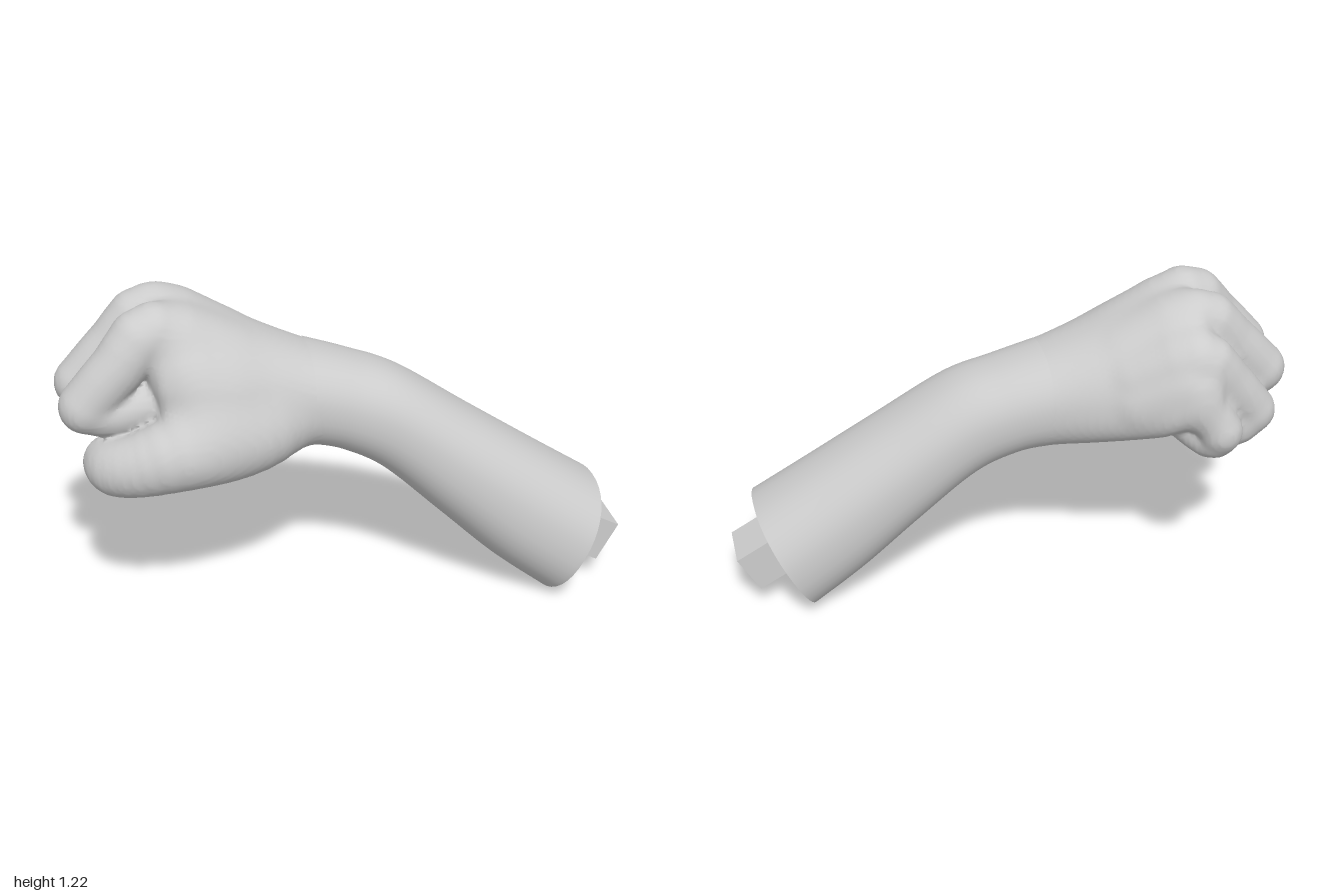
import * as THREE from 'three';

const skin = new THREE.MeshStandardMaterial({ color: 0xcccccc });
skin.name = 'plain grey';
const SIDES = 40;

// Arm cross-sections: top x, top y, bottom x, bottom y, back z, front z
const sections = [
  [0.915, 0.41, 0.71, 0.0, -0.085, 0.41],
  [0.70, 0.55, 0.52, 0.15, -0.09, 0.37],
  [0.45, 0.715, 0.32, 0.34, -0.10, 0.32],
  [0.20, 0.88, 0.12, 0.525, -0.12, 0.268],
  [0.03, 0.945, -0.03, 0.605, -0.145, 0.238],
  [-0.13, 0.995, -0.14, 0.63, -0.175, 0.23],
  [-0.28, 1.055, -0.27, 0.65, -0.235, 0.25],
  [-0.43, 1.125, -0.40, 0.68, -0.305, 0.28],
  [-0.56, 1.18, -0.51, 0.72, -0.36, 0.275],
  [-0.65, 1.185, -0.60, 0.78, -0.355, 0.235],
  [-0.70, 1.12, -0.66, 0.86, -0.30, 0.17],
  [-0.72, 1.02, -0.71, 0.97, -0.09, -0.04],
];
const WRIST = 5;

// Rows of [x, y, z, radius]; each finger has an outer part and a part curled into the palm
const fingers = [
  [[[-0.42, 1.0, 0.06, 0.08], [-0.66, 1.112, 0.07, 0.104], [-0.79, 1.01, 0.10, 0.094], [-0.91, 0.88, 0.105, 0.09]],
    [[-0.91, 0.87, 0.105, 0.088], [-0.82, 0.84, 0.10, 0.083], [-0.68, 0.86, 0.09, 0.08]]],
  [[[-0.42, 1.0, -0.09, 0.08], [-0.65, 1.112, -0.10, 0.10], [-0.78, 1.01, -0.095, 0.094], [-0.91, 0.875, -0.09, 0.09]],
    [[-0.91, 0.87, -0.09, 0.088], [-0.82, 0.81, -0.09, 0.083], [-0.68, 0.84, -0.08, 0.08]]],
  [[[-0.42, 0.96, -0.19, 0.07], [-0.61, 1.045, -0.25, 0.088], [-0.72, 0.94, -0.25, 0.086], [-0.83, 0.80, -0.24, 0.082]],
    [[-0.83, 0.79, -0.24, 0.08], [-0.75, 0.735, -0.235, 0.078], [-0.62, 0.78, -0.20, 0.075]]],
  [[[-0.42, 0.88, -0.22, 0.07], [-0.58, 0.965, -0.28, 0.076], [-0.63, 0.88, -0.31, 0.077], [-0.68, 0.79, -0.333, 0.076]],
    [[-0.685, 0.775, -0.33, 0.075], [-0.66, 0.735, -0.29, 0.074], [-0.57, 0.79, -0.21, 0.07]]],
];
const thumb = [
  [-0.24, 0.75, 0.11, 0.095], [-0.32, 0.742, 0.17, 0.125], [-0.44, 0.735, 0.20, 0.138], [-0.60, 0.735, 0.24, 0.133],
  [-0.74, 0.695, 0.225, 0.112], [-0.82, 0.67, 0.18, 0.102], [-0.838, 0.662, 0.125, 0.097],
];

// Smooth interpolation of rows of numbers, column by column
function smoothRows(rows, steps) {
  const out = [];
  const last = rows.length - 1;
  for (let i = 0; i < last; i++) {
    const [p, a, b, n] = [rows[Math.max(i - 1, 0)], rows[i], rows[i + 1], rows[Math.min(i + 2, last)]];
    for (let s = 0; s < steps; s++) {
      const t = s / steps;
      out.push(a.map((v, k) => 0.5 * (2 * v + (b[k] - p[k]) * t
        + (2 * p[k] - 5 * v + 4 * b[k] - n[k]) * t * t
        + (3 * v - p[k] - 3 * b[k] + n[k]) * t * t * t)));
    }
  }
  out.push(rows[last]);
  return out;
}

function meshFrom(name, points, index) {
  const geometry = new THREE.BufferGeometry().setFromPoints(points);
  geometry.setIndex(index);
  geometry.computeVertexNormals();
  const mesh = new THREE.Mesh(geometry, skin);
  mesh.name = name;
  return mesh;
}

// Joins rings of points into a smooth skin
function skinRings(name, rings) {
  const index = [];
  for (let i = 0; i < rings.length - 1; i++) {
    for (let j = 0; j < SIDES; j++) {
      const a = i * SIDES + j, b = i * SIDES + (j + 1) % SIDES;
      index.push(a, b, a + SIDES, b, b + SIDES, a + SIDES);
    }
  }
  return meshFrom(name, rings.flat(), index);
}

// Slightly squared oval ring for one arm section
function armRing([tx, ty, bx, by, z0, z1]) {
  const bend = (n) => Math.sign(n) * Math.abs(n) ** 0.9;
  return Array.from({ length: SIDES }, (_, j) => {
    const a = j / SIDES * Math.PI * 2;
    const u = bend(Math.cos(a)), v = bend(Math.sin(a));
    return new THREE.Vector3((tx + bx + (tx - bx) * v) / 2, (ty + by + (ty - by) * v) / 2, (z0 + z1 + (z1 - z0) * u) / 2);
  });
}

// Distance to a chain of tapered round segments
function chainDistance(rows, x, y, z) {
  let best = Infinity;
  for (let i = 0; i < rows.length - 1; i++) {
    const [ax, ay, az, ar] = rows[i], [bx, by, bz, br] = rows[i + 1];
    const dx = bx - ax, dy = by - ay, dz = bz - az;
    const t = ((x - ax) * dx + (y - ay) * dy + (z - az) * dz) / (dx * dx + dy * dy + dz * dz);
    const h = Math.min(Math.max(t, 0), 1);
    best = Math.min(best, Math.hypot(x - ax - h * dx, y - ay - h * dy, z - az - h * dz) - ar - h * (br - ar));
  }
  return best;
}

// Union of two distances with a soft fillet of width k
function blend(a, b, k) {
  const h = Math.max(k - Math.abs(a - b), 0) / k;
  return Math.min(a, b) - h * h * k / 4;
}

// Distance to the whole hand: palm, fingers and thumb blended together
function makeHandField() {
  const palmRows = smoothRows(sections.slice(WRIST - 1), 6)
    .map(([tx, ty, bx, by, z0, z1]) => [(tx + bx) / 2, (ty + by) / 2, (ty - by) / 2, (z0 + z1) / 2, (z1 - z0) / 2]);
  const end = palmRows[palmRows.length - 1][0];
  const outerRows = fingers.map(([outer]) => smoothRows(outer, 3));
  const curledRows = fingers.map(([, curled]) => smoothRows(curled, 3));
  const thumbRows = smoothRows(thumb, 3);

  const palm = (x, y, z) => {
    const cx = Math.max(x, end);
    const i = Math.max(palmRows.findIndex((row) => row[0] <= cx), 1);
    const a = palmRows[i - 1], b = palmRows[i];
    const t = (cx - a[0]) / (b[0] - a[0]);
    const [, cy, hy, cz, hz] = a.map((v, k) => v + (b[k] - v) * t);
    const dy = (y - cy) / hy;
    // The back of the hand is narrower than the palm
    const taper = 0.23 * Math.min(Math.max((-0.13 - x) / 0.35, 0), 1);
    const dz = (z - cz) / (hz * (1 - taper * Math.min(Math.max(dy, -1), 1)));
    const k = (Math.abs(dy) ** 2.22 + Math.abs(dz) ** 2.22) ** 0.45;
    return (k - 1) * Math.min(hy, hz) + cx - x;
  };
  return (x, y, z) => {
    const body = palm(x, y, z);
    const chains = (list) => list.map((rows) => chainDistance(rows, x, y, z)).reduce((a, b) => blend(a, b, 0.02));
    const withFingers = blend(body, chains(outerRows), 0.05);
    const withThumb = blend(body, chainDistance(thumbRows, x, y, z), 0.08);
    return blend(Math.min(withFingers, withThumb), chains(curledRows), 0.012);
  };
}

// Smooth surface where the field is zero: one point per crossed cell, one quad per crossed grid edge
function surfaceFrom(name, field, min, max, cell) {
  const n = min.map((v, k) => Math.round((max[k] - v) / cell) + 1);
  const stride = [1, n[0], n[0] * n[1]];
  const value = new Float32Array(n[0] * n[1] * n[2]);
  const visit = (from, fn) => {
    for (let k = from; k < n[2] - 1 + from; k++)
      for (let j = from; j < n[1] - 1 + from; j++)
        for (let i = from; i < n[0] - 1 + from; i++) fn([i, j, k], i + j * stride[1] + k * stride[2]);
  };
  for (let id = 0; id < value.length; id++) {
    const g = [id % n[0], Math.floor(id / n[0]) % n[1], Math.floor(id / stride[2])];
    value[id] = field(...g.map((v, k) => min[k] + v * cell));
  }
  const points = [], index = [], cellPoint = new Map();
  visit(0, (g, id) => {
    const sum = new THREE.Vector3();
    let count = 0;
    for (let c = 0; c < 8; c++) {
      const bits = [c & 1, c >> 1 & 1, c >> 2 & 1];
      const from = id + bits[0] + bits[1] * stride[1] + bits[2] * stride[2];
      for (let d = 0; d < 3; d++) {
        if (bits[d]) continue;
        const a = value[from], b = value[from + stride[d]];
        if ((a < 0) === (b < 0)) continue;
        const p = bits.map((v, k) => v + (k === d ? a / (a - b) : 0));
        sum.add(new THREE.Vector3(...p));
        count++;
      }
    }
    if (!count) return;
    cellPoint.set(id, points.length);
    sum.divideScalar(count).add(new THREE.Vector3(...g)).multiplyScalar(cell);
    points.push(sum.add(new THREE.Vector3(...min)));
  });
  visit(1, (g, id) => {
    for (let d = 0; d < 3; d++) {
      if (g[d] === n[d] - 1 || (value[id] < 0) === (value[id + stride[d]] < 0)) continue;
      const u = stride[(d + 1) % 3], v = stride[(d + 2) % 3];
      const quad = [id, id - u, id - u - v, id - v].map((c) => cellPoint.get(c));
      if (quad.includes(undefined)) continue;
      if (value[id] >= 0) quad.reverse();
      index.push(quad[0], quad[1], quad[2], quad[0], quad[2], quad[3]);
    }
  });
  return meshFrom(name, points, index);
}

export function createModel() {
  const model = new THREE.Group();
  model.name = 'clenchedArm';
  const rings = smoothRows(sections.slice(0, WRIST + 1), 8).map(armRing);
  model.add(skinRings('forearm', rings));
  model.add(surfaceFrom('clenchedHand', makeHandField(), [-1.04, 0.53, -0.45], [-0.1, 1.26, 0.42], 0.0155));

  // Flat cut end of the forearm
  const centre = new THREE.Vector3(0.81, 0.205, 0.16);
  model.add(skinRings('cutEnd', [rings[0].map(() => centre.clone()), rings[0].map((p) => p.clone())]));

  // Mounting peg
  const peg = new THREE.Mesh(new THREE.BoxGeometry(0.24, 0.16, 0.185), skin);
  peg.name = 'mountingPeg';
  peg.position.set(0.855, 0.218, 0.158);
  peg.rotation.z = -0.5;
  model.add(peg);
  return model;
}
